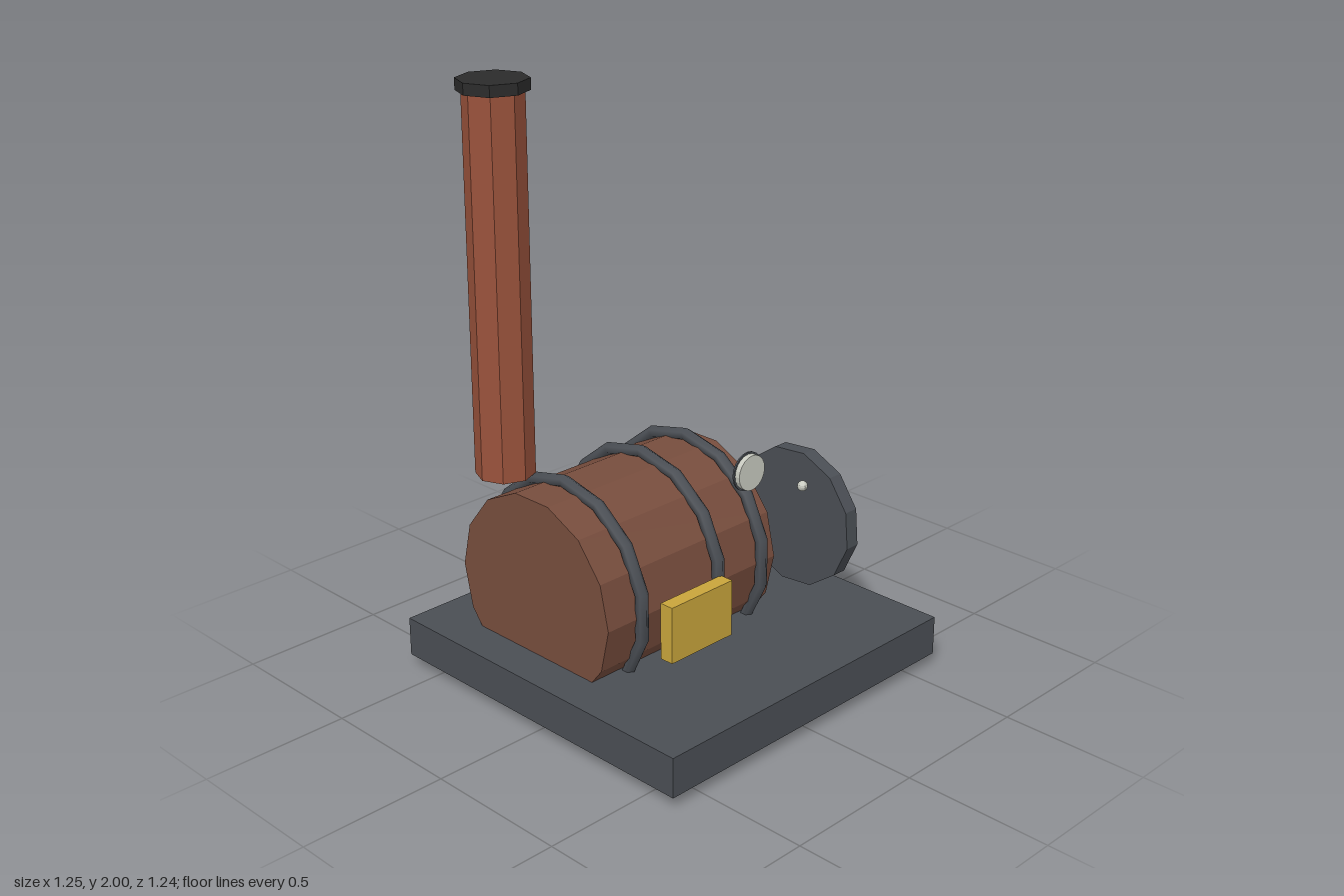
import * as THREE from 'three';

const mat = (name, color, flatShading = true) => {
  const m = new THREE.MeshStandardMaterial({ color, flatShading });
  m.name = name;
  return m;
};

export function createModel() {
  const iron = mat('iron', 0x4a4e54);
  const bandIron = iron.clone(); // same colour, smooth for the round bands
  bandIron.flatShading = false;
  const copper = mat('boilerCopper', 0x774d3d);
  const brick = mat('chimneyRed', 0x99523b);
  const black = mat('capBlack', 0x2b2b2b);
  const brass = mat('brass', 0xc8a43b);
  const pale = mat('paleDial', 0xc8cac0);

  const model = new THREE.Group();
  model.name = 'steamEngine';
  const add = (name, geometry, material, x, y, z) => {
    const mesh = new THREE.Mesh(geometry, material);
    mesh.name = name;
    mesh.position.set(x, y, z);
    model.add(mesh);
    return mesh;
  };
  // Cylinder lying along x
  const drum = (r, width, sides) =>
    new THREE.CylinderGeometry(r, r, width, sides).rotateZ(Math.PI / 2);
  // Disc facing the front
  const disc = (r, depth) =>
    new THREE.CylinderGeometry(r, r, depth, 20).rotateX(Math.PI / 2);

  // Base slab
  add('base', new THREE.BoxGeometry(1.235, 0.135, 1.235), iron, -0.008, 0.108, -0.002);

  // Boiler with three iron bands
  const boilerY = 0.379, boilerZ = -0.141;
  add('boiler', drum(0.343, 0.755, 14), copper, -0.112, boilerY, boilerZ);
  for (const x of [-0.35, -0.009, 0.197]) {
    const band = new THREE.TorusGeometry(0.356, 0.022, 6, 14)
      .rotateZ(Math.PI / 2).rotateY(Math.PI / 2);
    add('boilerBand', band, bandIron, x, boilerY, boilerZ);
  }

  // Chimney and cap
  add('chimney', new THREE.CylinderGeometry(0.097, 0.097, 1.24, 8), brick, -0.42, 1.345, -0.343);
  add('chimneyCap', new THREE.CylinderGeometry(0.114, 0.114, 0.037, 8), black, -0.42, 1.9815, -0.343);

  // Flywheel
  const wheel = add('flywheel', drum(0.245, 0.053, 12), iron, 0.457, 0.448, 0.136);
  wheel.rotation.x = THREE.MathUtils.degToRad(10);

  // Firebox door
  add('fireboxDoor', new THREE.BoxGeometry(0.272, 0.195, 0.05), brass, -0.146, 0.313, 0.245);

  // Pressure gauge: dark backing plate and pale dial
  add('gaugeBack', disc(0.066, 0.006), iron, 0.127, 0.727, 0.203);
  add('gaugeDial', disc(0.06, 0.018), pale, 0.127, 0.727, 0.215);

  // Lever knob and valve block
  add('leverKnob', new THREE.SphereGeometry(0.018, 10, 8), pale, 0.403, 0.588, 0.2);
  add('valveBlock', new THREE.BoxGeometry(0.08, 0.08, 0.08), iron, 0.582, 0.245, -0.414);

  return model;
}
